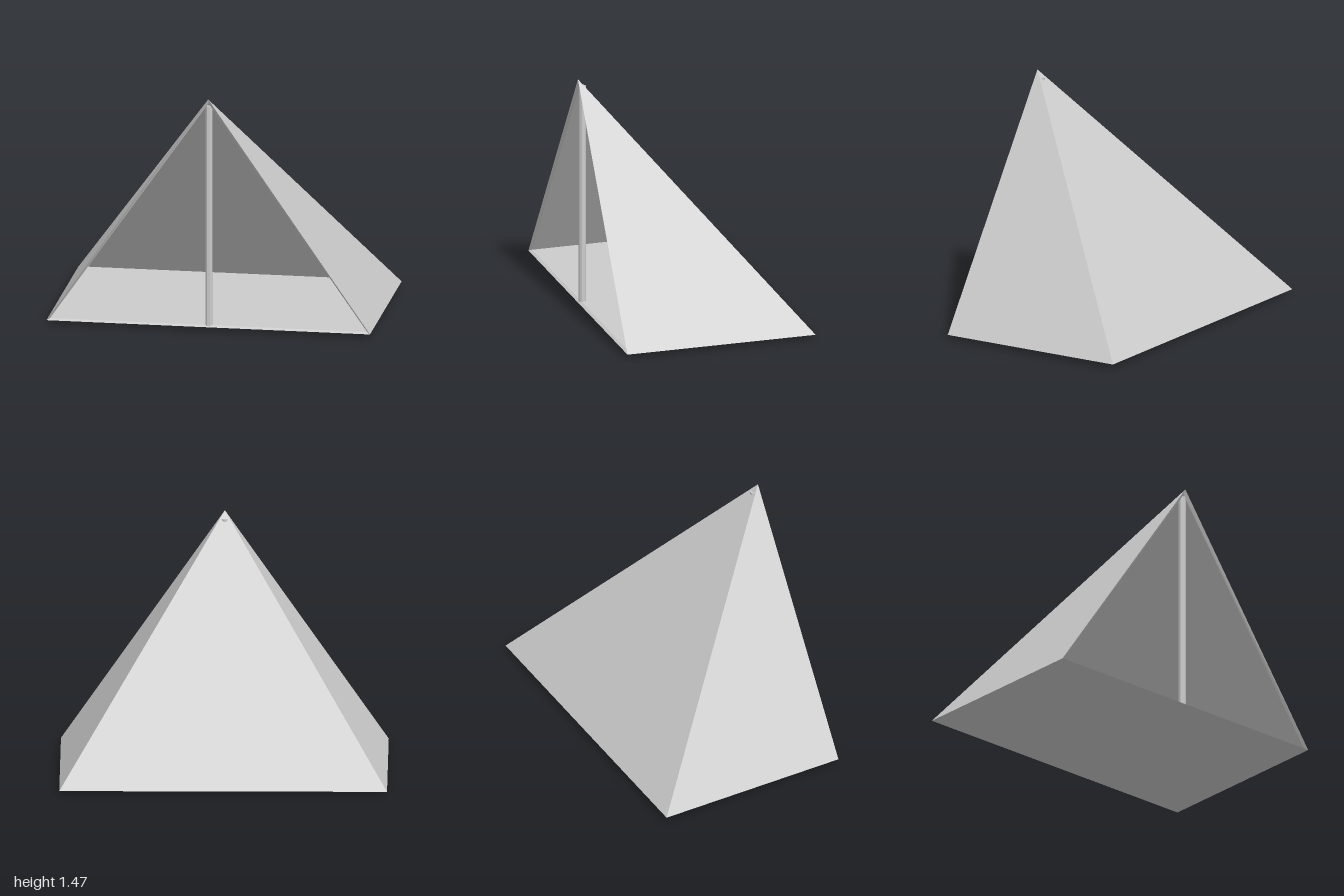
import * as THREE from 'three';

const material = new THREE.MeshStandardMaterial({ color: 0xcccccc, flatShading: true, side: THREE.DoubleSide });

// Flat-shaded panel from a fan of corner points
function panel(name, ...corners) {
  const points = [];
  for (let i = 1; i < corners.length - 1; i++) points.push(...corners[0], ...corners[i], ...corners[i + 1]);
  const geometry = new THREE.BufferGeometry();
  geometry.setAttribute('position', new THREE.Float32BufferAttribute(points, 3));
  geometry.computeVertexNormals();
  const mesh = new THREE.Mesh(geometry, material);
  mesh.name = name;
  return mesh;
}

// Base corners in order front right, front left, back left, back right, plus the peak
function shell(halfWidth, baseY, front, back, peakY) {
  return {
    base: [[-halfWidth, baseY, front], [halfWidth, baseY, front], [halfWidth, baseY, back], [-halfWidth, baseY, back]],
    peak: [0, peakY, front],
  };
}

export function createModel() {
  const model = new THREE.Group();
  model.name = 'tent';

  const outer = shell(1, 0.025, 0.602, -0.602, 1.47);
  const inner = shell(0.98, 0.035, 0.585, -0.585, 1.44);
  const [a, b, c, d] = outer.base;
  const [e, f, g, h] = inner.base;

  // Outer canvas
  model.add(
    panel('leftWall', b, c, outer.peak),
    panel('backWall', c, d, outer.peak),
    panel('rightWall', d, a, outer.peak),
  );

  // Inner lining and floor
  model.add(
    panel('leftLining', g, f, inner.peak),
    panel('backLining', h, g, inner.peak),
    panel('rightLining', e, h, inner.peak),
    panel('floor', e, f, g, h),
  );

  // Narrow rim around the open front
  model.add(
    panel('sillRim', a, b, f, e),
    panel('leftRim', b, outer.peak, inner.peak, f),
    panel('rightRim', outer.peak, a, e, inner.peak),
  );

  // Groundsheet sagging slightly to its middle
  const groundsheet = new THREE.Group();
  groundsheet.name = 'groundsheet';
  outer.base.forEach((corner, i) => {
    groundsheet.add(panel('groundsheetPanel', outer.base[(i + 1) % 4], corner, [0, 0, 0]));
  });
  model.add(groundsheet);

  // Pole at the entrance, its top poking through the back wall
  const pole = new THREE.Mesh(new THREE.CylinderGeometry(0.023, 0.023, 1.395, 8), material);
  pole.name = 'pole';
  pole.position.set(0, 0.7275, 0.573);
  pole.rotation.y = Math.PI / 8;
  model.add(pole);

  return model;
}
